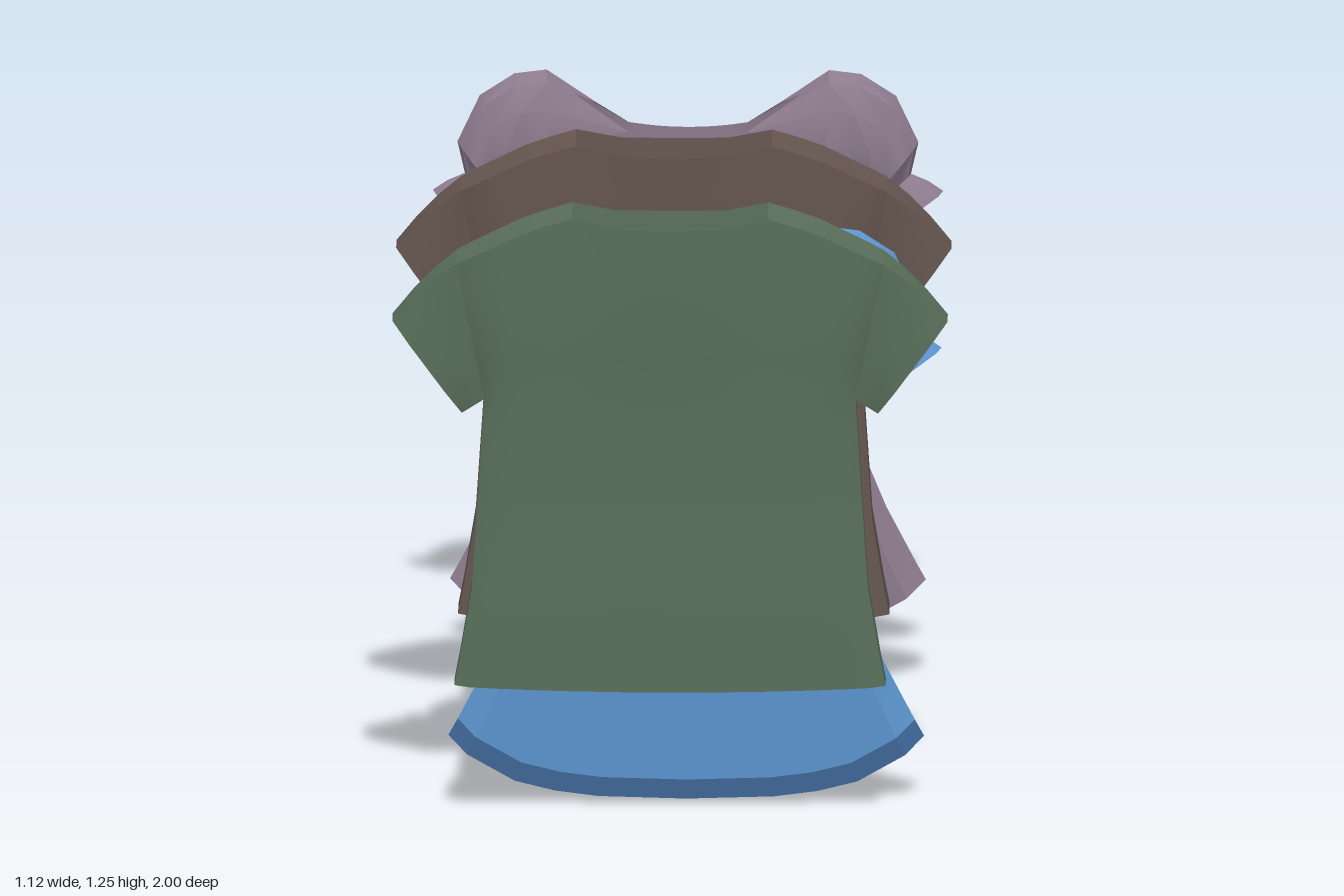
import * as THREE from 'three';
import { mergeGeometries, toCreasedNormals } from 'three/addons/utils/BufferGeometryUtils.js';

const lerp = THREE.MathUtils.lerp;

// Piecewise linear lookup in [x, value] pairs
function look(table, x) {
  for (let i = 1; i < table.length; i++) {
    const [x0, v0] = table[i - 1], [x1, v1] = table[i];
    if (x <= x1) return lerp(v0, v1, Math.max(0, (x - x0) / (x1 - x0)));
  }
  return table[table.length - 1][1];
}

// Surface through rows of [x, y, z] points
function sheet(rows, closed = false) {
  const n = rows[0].length, index = [];
  for (let r = 0; r < rows.length - 1; r++) {
    for (let c = 0; c < (closed ? n : n - 1); c++) {
      const a = r * n + c, b = r * n + (c + 1) % n;
      index.push(a, b, b + n, a, b + n, a + n);
    }
  }
  const g = new THREE.BufferGeometry();
  g.setAttribute('position', new THREE.Float32BufferAttribute(rows.flat(2), 3));
  g.setIndex(index);
  return g;
}

function cloth(name, parts, color, crease = 0.7) {
  const geometry = toCreasedNormals(mergeGeometries(parts), crease);
  const mesh = new THREE.Mesh(geometry, new THREE.MeshStandardMaterial({ color, side: THREE.DoubleSide }));
  mesh.name = name;
  return mesh;
}

// Adds a sleeve on the left and its mirror on the right
function addSleeves(group, rows, color, crease) {
  for (const side of [1, -1]) {
    const sleeve = cloth(side > 0 ? 'leftSleeve' : 'rightSleeve', [sheet(rows, true)], color, crease);
    sleeve.scale.x = side;
    group.add(sleeve);
  }
}

const mirrored = list => [...list.slice(1).reverse().map(t => -t), ...list];
const VS = [0, 0.25, 0.5, 0.75, 1];

function shirt(name, color, z, depth) {
  const group = new THREE.Group();
  group.name = name;
  group.position.z = z;
  const half = [0, 0.12, 0.25, 0.46, 0.58, 0.7, 0.82, 0.93, 1];
  const ts = mirrored(half), back = [...ts].reverse();
  const width = [[0.27, 0.435], [0.48, 0.4], [0.7, 0.385], [0.87, 0.375]];
  const top = [[0, 1.228], [0.11, 1.23], [0.2, 1.25], [0.29, 1.222], [0.43, 1.155]];
  const low = [[0, 1], [0.46, 0.96], [0.82, 0.91], [0.93, 0.86], [1, 0.62]];
  const high = [[0, 1], [0.25, 0.95], [0.46, 0.83], [0.93, 0.82], [1, 0.74]];
  const halfDepth = (t, y) => {
    const a = Math.abs(t);
    return look(depth, y) * lerp(look(low, a), look(high, a), THREE.MathUtils.clamp((y - 0.87) / 0.3, 0, 1));
  };
  const lower = (t, y, s) => [t * look(width, y), y + (y < 0.3 ? 0.01 * t * t : 0), s * halfDepth(t, y)];
  const upper = (t, v, s) => {
    const y = lerp(0.87, look(top, Math.abs(t) * 0.43), v);
    return [t * lerp(0.375, 0.43, v), y, s * halfDepth(t, y)];
  };

  // Tube of the torso, chest and back panels, shoulder strips
  const parts = [
    sheet([0.27, 0.34, 0.48, 0.6, 0.7, 0.8, 0.87].map(y =>
      [...ts.map(t => lower(t, y, 1)), ...back.map(t => lower(t, y, -1))]), true),
    sheet(VS.map(v => ts.map(t => upper(t, v, 1)))),
    sheet(VS.map(v => back.map(t => upper(t, v, -1)))),
  ];
  const shoulder = half.filter(t => t >= 0.46);
  for (const list of [shoulder, shoulder.map(t => -t).reverse()]) {
    parts.push(sheet([1, -1].map(s => list.map(t => upper(t, 1, s)))));
  }
  group.add(cloth('torso', parts, color));

  // Short sleeve from the arm seam to the cuff
  const cuff = (v, s) => [
    lerp(0.42, 0.56, v), lerp(0.84, 1.03, v),
    s * look([[0, 0.035], [0.25, 0.054], [0.75, 0.056], [1, 0.04]], v)];
  const down = [...VS].reverse();
  const ring = f => [...VS.map(v => f(v, -1)), ...down.map(v => f(v, 1))];
  const mix = k => ring((v, s) => {
    const a = upper(1, v, s), b = cuff(v, s);
    return a.map((p, i) => lerp(p, b[i], k) + (i === 1 ? 0.01 * v * Math.sin(k * Math.PI) : 0));
  });
  addSleeves(group, [0, 0.33, 0.67, 1].map(mix), color);
  return group;
}

function dress(name, color, hemColor, x, z) {
  const group = new THREE.Group();
  group.name = name;
  group.position.set(x, 0, z);
  const ts = mirrored([0, 0.2, 0.37, 0.55, 0.72, 0.92, 1]), back = [...ts].reverse();
  const D = 0.051;
  const width = [[0.12, 0.48], [0.15, 0.463], [0.27, 0.4], [0.41, 0.342], [0.55, 0.285], [0.72, 0.235], [0.87, 0.245]];
  const hem = [[0, 0], [0.37, 0.005], [0.55, 0.016], [0.72, 0.036], [0.92, 0.09], [1, 0.12]];
  const lower = (t, k, s) => {
    const a = Math.abs(t);
    return [t * look(width, lerp(0.12, 0.87, k)), lerp(look(hem, a), 0.87, k), a === 1 ? 0 : s * D];
  };
  const upper = (t, v, s) => [
    t * lerp(0.245, 0.12, v), lerp(0.87, 1.04 + 0.01 * t * t, v),
    s * D * (Math.abs(t) === 1 ? Math.sqrt(v) : 1)];
  const skirt = ks => sheet(ks.map(k =>
    [...ts.map(t => lower(t, k, 1)), ...back.slice(1, -1).map(t => lower(t, k, -1))]), true);

  // Flared skirt with hem band, and the two bodice panels
  group.add(cloth('hemBand', [skirt([0, 0.045])], hemColor));
  group.add(cloth('skirtAndBodice', [
    skirt([0.045, 0.12, 0.2, 0.39, 0.57, 0.7, 0.8, 0.9, 1]),
    sheet(VS.map(v => ts.map(t => upper(t, v, 1)))),
    sheet(VS.map(v => back.map(t => upper(t, v, -1)))),
  ], color));

  // Puffed sleeve: seam, gathered puff, tight cuff, frill
  const seam = k => k === 0 ? [0.23, 1.12, 0] : k === 1 ? [0.18, 1.09, 0.036] : upper(1, (6 - k) / 4, 1);
  const oval = ([tx, ty], [bx, by], d, fold) => k => {
    const c = (1 + Math.cos(k * Math.PI / 6)) / 2;
    const f = 1 + (k % 2 ? fold : -fold);
    return [lerp(bx, tx, c), lerp(by, ty, c), d * f * Math.sin(k * Math.PI / 6)];
  };
  const sections = [
    seam,
    oval([0.285, 1.168], [0.275, 0.875], 0.064, 0.06),
    oval([0.35, 1.16], [0.3, 0.875], 0.062, -0.1),
    oval([0.42, 1.115], [0.32, 0.88], 0.06, 0.09),
    oval([0.465, 1.02], [0.335, 0.87], 0.053, -0.08),
    oval([0.45, 0.955], [0.355, 0.875], 0.028, 0.1),
    oval([0.485, 0.94], [0.365, 0.855], 0.045, -0.1),
    oval([0.515, 0.92], [0.38, 0.832], 0.055, 0.1),
  ];
  const rows = sections.map(f => Array.from({ length: 12 }, (_, i) => {
    const [px, py, pz] = f(Math.abs(i - 6));
    return [px, py, i < 6 ? -pz : pz];
  }));
  addSleeves(group, rows, color, 0.6);
  return group;
}

export function createModel() {
  const model = new THREE.Group();
  model.name = 'clothes';
  model.add(
    shirt('greenShirt', 0x5a705b, 0.893,
      [[0.27, 0.062], [0.48, 0.07], [0.62, 0.064], [0.87, 0.073], [1.05, 0.095], [1.22, 0.105]]),
    dress('blueDress', 0x5a93cc, 0x3d6595, 0.03, 0.648),
    shirt('brownShirt', 0x665650, 0.155,
      [[0.27, 0.087], [0.48, 0.08], [0.8, 0.07], [0.9, 0.075], [1.05, 0.095], [1.22, 0.104]]),
    dress('mauveDress', 0x8c7a8d, 0x8c7a8d, 0.017, -0.933),
  );
  return model;
}
